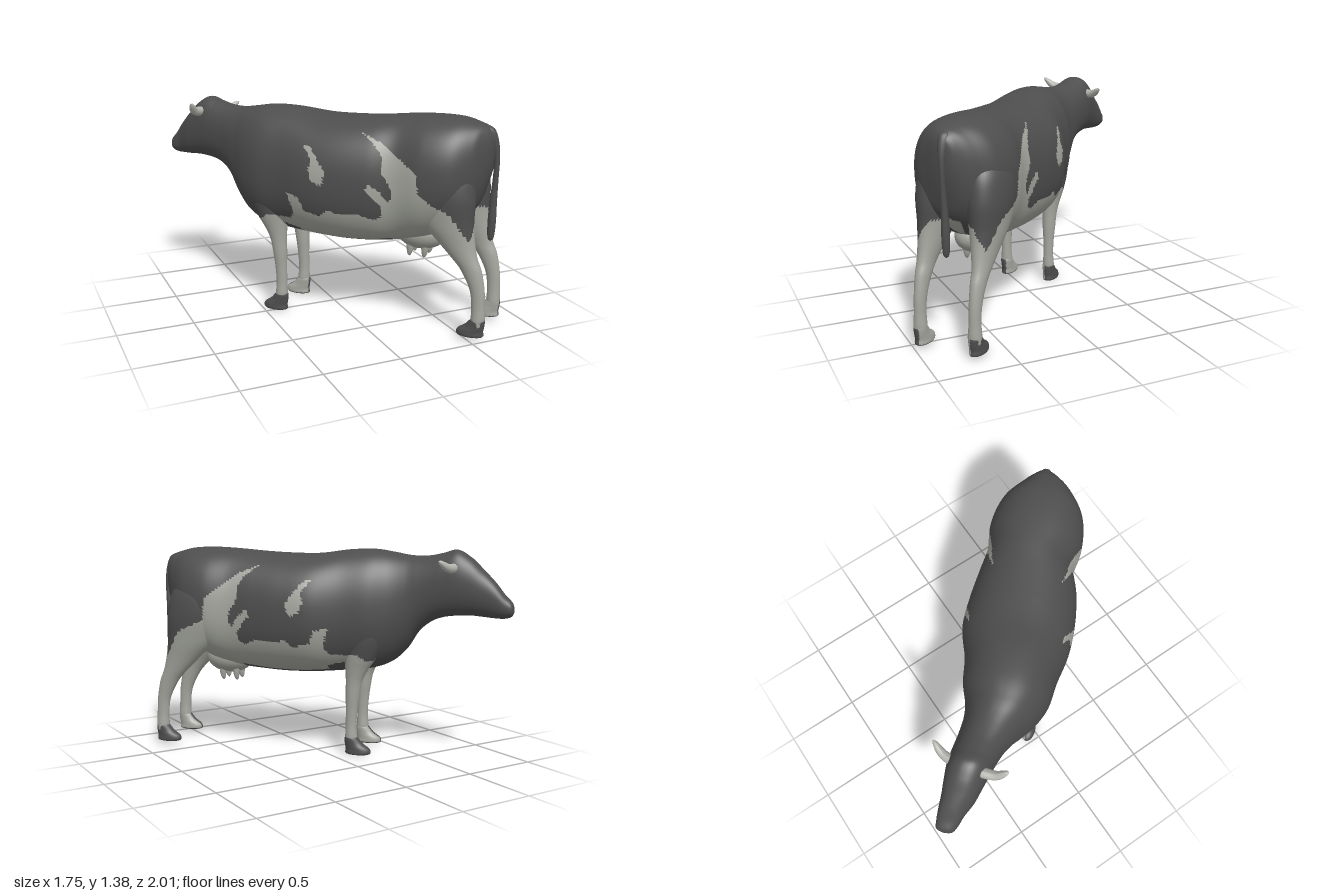
import * as THREE from 'three';

// The animal stands diagonally: s runs forward along it, t to its right, y up.
const FX = -0.663, FZ = -0.749;
const world = (s, t, y) => new THREE.Vector3(FX * s - FZ * t, y, FZ * s + FX * t);

// Coat outlines on the flank (x, y), used mirrored on the other side.
const FLANK = [[-0.01, 1.27], [0.08, 1.21], [0.14, 1.13], [0.19, 1.05], [0.2, 0.93], [0.285, 0.86], [0.37, 0.81],
  [0.42, 0.73], [0.48, 0.64], [0.515, 0.7], [0.55, 0.78], [0.62, 0.8], [0.68, 0.72], [1.2, 0.72], [1.2, -0.1],
  [-0.55, -0.1], [-0.52, 0.62], [-0.49, 0.68], [-0.37, 0.685], [-0.37, 0.73], [-0.415, 0.87], [-0.36, 0.845],
  [-0.335, 0.765], [-0.25, 0.735], [-0.23, 0.785], [-0.175, 0.765], [-0.06, 0.77], [0.02, 0.74], [0.05, 0.76],
  [0.055, 0.82], [0, 0.88], [-0.045, 0.93], [-0.035, 0.98], [0.03, 0.93], [0.08, 0.86], [0.1, 0.89], [0.087, 0.96],
  [0.04, 1.05], [0.055, 1.12], [0.04, 1.18]];
const SPOT = [[-0.32, 1.18], [-0.29, 1.18], [-0.275, 1.12], [-0.245, 1.03], [-0.26, 0.94], [-0.305, 0.96],
  [-0.32, 1.03], [-0.3, 1.1]];

function inside(poly, x, y) {
  let hit = false;
  for (let i = 0, j = poly.length - 1; i < poly.length; j = i++) {
    const [ax, ay] = poly[i], [bx, by] = poly[j];
    if ((ay > y) !== (by > y) && x < ((bx - ax) * (y - ay)) / (by - ay) + ax) hit = !hit;
  }
  return hit;
}

// Is the coat pale at this point? c is the t of the animal's middle.
function palePatch(s, t, y, c) {
  const x = FX * s - FZ * (c - Math.abs(t - c));
  return inside(FLANK, x, y) || inside(SPOT, x, y);
}

// Smooth interpolation of table rows, by row index.
function sampler(rows) {
  const curves = [0, 3].map((k) => new THREE.CatmullRomCurve3(
    rows.map((r) => new THREE.Vector3(r[k] ?? 0, r[k + 1] ?? 0, r[k + 2] ?? 0)), false, 'catmullrom', 0.5));
  return (u) => curves.flatMap((cv) => cv.getPoint(u).toArray());
}

// Skin of closed rings; faces are sorted into dark and pale groups.
function loft(name, n, m, point, isPale, mats) {
  const raw = [], pos = [], groups = [[], []];
  for (let i = 0; i <= n; i++) {
    for (let j = 0; j < m; j++) {
      const p = point(i / n, (j / m) * Math.PI * 2);
      raw.push(p);
      pos.push(...world(p[0], p[1], p[2]).toArray());
    }
  }
  const face = (a, b, c) => {
    const [s, t, y, mid] = [0, 1, 2, 3].map((k) => (raw[a][k] + raw[b][k] + raw[c][k]) / 3);
    groups[isPale(s, t, y, mid) ? 1 : 0].push(a, b, c);
  };
  for (let i = 0; i < n; i++) {
    for (let j = 0; j < m; j++) {
      const a = i * m + j, b = i * m + ((j + 1) % m);
      face(a, a + m, b);
      face(b, a + m, b + m);
    }
  }
  const geo = new THREE.BufferGeometry();
  geo.setAttribute('position', new THREE.Float32BufferAttribute(pos, 3));
  geo.setIndex(groups[0].concat(groups[1]));
  geo.addGroup(0, groups[0].length, 0);
  geo.addGroup(groups[0].length, groups[1].length, 1);
  geo.computeVertexNormals();
  const mesh = new THREE.Mesh(geo, mats);
  mesh.name = name;
  return mesh;
}

// Upright limb from rows of [y, s, t, radius along s, radius along t].
function limb(name, rows, n, m, mid, isPale, mats) {
  const at = sampler(rows);
  return loft(name, n, m, (u, a) => {
    const [y, s, t, rs, rt] = at(u);
    return [s + Math.max(rs, 0.001) * Math.cos(a), t + Math.max(rt, 0.001) * Math.sin(a), y, mid];
  }, isPale, mats);
}

// Tapered curved tube through points given as [s, t, y].
function taperedTube(name, pts, radius, material) {
  const curve = new THREE.CatmullRomCurve3(pts.map((p) => world(...p)));
  const n = 14, m = 12, geo = new THREE.TubeGeometry(curve, n, radius, m);
  const pos = geo.attributes.position, v = new THREE.Vector3();
  for (let i = 0; i < pos.count; i++) {
    const u = Math.floor(i / (m + 1)) / n, centre = curve.getPointAt(u);
    v.fromBufferAttribute(pos, i).sub(centre).multiplyScalar(Math.sqrt(Math.max(1 - u * u, 0.0004))).add(centre);
    pos.setXYZ(i, v.x, v.y, v.z);
  }
  geo.computeVertexNormals();
  const mesh = new THREE.Mesh(geo, material);
  mesh.name = name;
  return mesh;
}

export function createModel() {
  const flat = (name, color) => Object.assign(new THREE.MeshStandardMaterial({ color }), { name });
  const dark = flat('dark coat', 0x4e4e4e), pale = flat('pale coat', 0xa3a59d), horn = flat('horn', 0xb4b4ae);
  const coat = [dark, pale];
  const cow = new THREE.Group();
  cow.name = 'cow';

  // Trunk, neck and head: [s, middle t, half width, top y, bottom y]
  const trunk = sampler([
    [-1.1, -0.04, 0.003, 1.25, 1.2], [-1.085, -0.04, 0.06, 1.29, 1.07], [-1.05, -0.05, 0.12, 1.325, 0.93],
    [-1, -0.06, 0.19, 1.345, 0.81], [-0.89, -0.06, 0.28, 1.37, 0.7], [-0.73, -0.06, 0.315, 1.375, 0.61],
    [-0.55, -0.065, 0.295, 1.365, 0.56], [-0.39, -0.085, 0.33, 1.35, 0.54], [-0.2, -0.095, 0.355, 1.34, 0.53],
    [0, -0.1, 0.355, 1.34, 0.535], [0.2, -0.12, 0.305, 1.365, 0.55], [0.37, -0.13, 0.28, 1.37, 0.57],
    [0.5, -0.13, 0.23, 1.352, 0.62], [0.6, -0.11, 0.19, 1.335, 0.71], [0.68, -0.09, 0.165, 1.33, 0.83],
    [0.76, -0.07, 0.148, 1.335, 0.9], [0.84, -0.054, 0.139, 1.352, 0.935], [0.93, -0.04, 0.13, 1.373, 0.95],
    [1.02, -0.03, 0.115, 1.325, 0.955], [1.1, -0.02, 0.1, 1.25, 0.95], [1.18, 0, 0.08, 1.17, 0.945],
    [1.24, 0.01, 0.068, 1.095, 0.945], [1.285, 0.018, 0.05, 1.05, 0.96], [1.3, 0.02, 0.003, 1.015, 0.99]]);
  cow.add(loft('body', 230, 150, (u, a) => {
    const [s, c, w, top, bottom] = trunk(u);
    const round = (v) => Math.sign(v) * Math.abs(v) ** 0.88;
    return [s, c + w * round(Math.cos(a)), (top + bottom) / 2 + ((top - bottom) / 2) * round(Math.sin(a)), c];
  }, (s, t, y, c) => {
    const underside = y < 0.7 && s > -0.5 && Math.abs(t - c) < (s > 0.1 ? 0.2 : 0.15);
    return !underside && palePatch(s, t, y, c);
  }, coat));

  // Legs and hooves
  const hind = [[0.06, -1.08, 0, 0.036, 0.036], [0.13, -1.085, 0, 0.044, 0.042], [0.22, -1.083, 0, 0.042, 0.036],
    [0.33, -1.072, 0, 0.047, 0.037], [0.45, -1.03, 0, 0.066, 0.045], [0.53, -0.98, 0, 0.085, 0.055],
    [0.62, -0.925, -0.005, 0.12, 0.075], [0.75, -0.855, -0.01, 0.175, 0.105], [0.92, -0.81, -0.015, 0.22, 0.13],
    [1.08, -0.79, -0.03, 0.2, 0.12], [1.2, -0.78, -0.06, 0.1, 0.06]];
  const fore = [[0.05, 0.255, 0, 0.036, 0.034], [0.11, 0.255, 0, 0.041, 0.04], [0.2, 0.253, 0, 0.037, 0.034],
    [0.31, 0.257, 0, 0.04, 0.037], [0.4, 0.262, 0, 0.047, 0.044], [0.5, 0.272, 0, 0.056, 0.05],
    [0.58, 0.29, 0, 0.078, 0.062], [0.67, 0.315, 0, 0.11, 0.08], [0.8, 0.33, 0, 0.14, 0.095],
    [0.95, 0.32, 0, 0.13, 0.09], [1.08, 0.31, 0, 0.07, 0.05]];
  const hoof = [[0, 0.045, 0, 0.002, 0.002], [0.001, 0.045, 0, 0.08, 0.045], [0.035, 0.045, 0, 0.083, 0.047],
    [0.07, 0.018, 0, 0.062, 0.043], [0.11, 0, 0, 0.045, 0.041], [0.12, 0, 0, 0.03, 0.03]];
  for (const [end, rows, mid, offset, base] of [['hind', hind, -0.035, 0.182, 0.025], ['front', fore, -0.125, 0.165, 0]]) {
    for (const [side, dir] of [['Left', -1], ['Right', 1]]) {
      const place = (r, s, y) => [r[0] + y, r[1] + s, mid + dir * (offset + r[2]), r[3], r[4]];
      cow.add(limb(`${end}Leg${side}`, rows.map((r) => place(r, 0, 0)), 80, 44, mid, palePatch, coat));
      // Hooves are dark outside and on the sole, paler on the inner face.
      const innerFace = (s, t, y, c) => Math.abs(t - c) < offset - 0.012 && y > base + 0.006;
      cow.add(limb(`${end}Hoof${side}`, hoof.map((r) => place(r, rows[1][1], base)), 24, 32, mid, innerFace, coat));
    }
  }

  // Tail
  cow.add(limb('tail', [[0.595, -1.088, -0.025, 0.002, 0.002], [0.62, -1.09, -0.025, 0.02, 0.018],
    [0.72, -1.092, -0.025, 0.026, 0.025], [0.85, -1.095, -0.025, 0.023, 0.021], [1, -1.103, -0.028, 0.018, 0.016],
    [1.12, -1.105, -0.03, 0.019, 0.018], [1.22, -1.09, -0.035, 0.026, 0.026], [1.3, -1.055, -0.04, 0.035, 0.035],
    [1.33, -1.04, -0.04, 0.01, 0.01]], 50, 16, -0.025, () => false, coat));

  // Udder with four teats
  const udder = new THREE.Mesh(new THREE.SphereGeometry(1, 32, 20), pale);
  udder.name = 'udder';
  udder.scale.set(0.125, 0.11, 0.17);
  udder.rotation.y = Math.atan2(FX, FZ);
  udder.position.copy(world(-0.65, -0.06, 0.61));
  cow.add(udder);
  for (const ds of [-0.05, 0.05]) {
    for (const dt of [-0.05, 0.05]) {
      const s = -0.64 + ds, t = -0.06 + dt;
      cow.add(taperedTube('teat', [[s, t, 0.56], [s, t, 0.5], [s + 0.005, t, 0.45]], 0.026, pale));
    }
  }

  // Horns
  cow.add(taperedTube('hornRight', [[0.93, 0.03, 1.26], [0.895, 0.12, 1.262], [0.84, 0.19, 1.31]], 0.032, horn));
  cow.add(taperedTube('hornLeft', [[0.95, -0.13, 1.28], [0.95, -0.215, 1.295], [0.925, -0.285, 1.355]], 0.032, horn));
  return cow;
}
